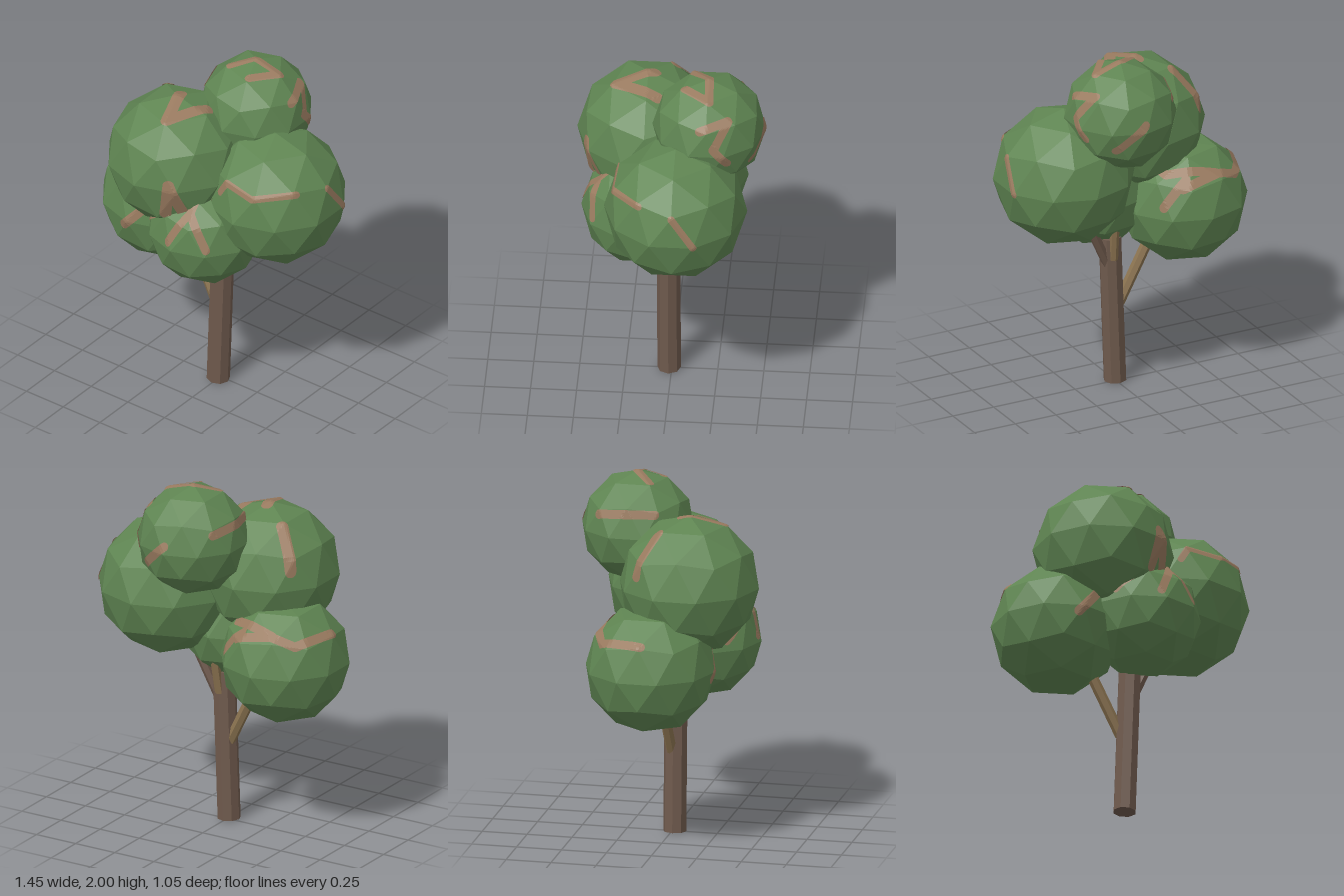
import * as THREE from 'three';

const flat = (name, color, extra = {}) => {
  const m = new THREE.MeshStandardMaterial({ color, flatShading: true, ...extra });
  m.name = name;
  return m;
};

// Leaf clumps: centre, radius, how far the poles are flattened, streak half width
const CLUMPS = {
  upperRight: { c: [-0.19, 1.455, 0.14], r: 0.387, cap: 1, half: 0.034 },
  left: { c: [0.345, 1.32, -0.045], r: 0.39, cap: 1, half: 0.02 },
  topBack: { c: [0.085, 1.69, -0.21], r: 0.31, cap: 1, half: 0.025 },
  lowerRight: { c: [-0.39, 1.03, -0.03], r: 0.36, cap: 0.89, half: 0.027 },
  lowerFront: { c: [0.03, 1.095, 0.17], r: 0.32, cap: 1, half: 0.024 },
};

// Directions in which the bark streaks are laid out: across, up, outward
const v3 = (x, y, z) => new THREE.Vector3(x, y, z).normalize();
const SIDES = {
  front: [v3(1, 0, 0), v3(0, 1, 0), v3(0, 0, 1)],
  left: [v3(0, 0, -1), v3(0, 1, 0), v3(1, 0, 0)],
  top: [v3(1, 0, 0), v3(0, 0, -1), v3(0, 1, 0)],
  backLeft: [v3(-1, 0, -1), v3(-0.35, 0.87, 0.35), v3(0.61, 0.5, -0.61)],
};

// Bark streaks: clump, side, points in units of the clump radius
const STREAKS = [
  ['lowerFront', 'front', [[0.16, 0.9], [0.19, 0.69], [-0.09, 0.13]]],
  ['lowerFront', 'front', [[0.19, 0.69], [0.6, 0.13]]],
  ['lowerFront', 'front', [[-0.78, 0.19], [-0.22, 0.6]]],
  ['left', 'front', [[-0.36, 0.33], [-0.23, 0.51], [0.23, 0.44], [0.72, 0.51]]],
  ['left', 'left', [[0, 0.44], [0.31, 0]]],
  ['topBack', 'top', [[-0.35, -0.29], [-0.03, 0], [0.5, 0.03], [0.16, -0.42]]],
  ['topBack', 'top', [[-0.75, 0.55], [-0.9, -0.03], [-0.77, -0.48]]],
  ['topBack', 'backLeft', [[-0.7, 0.15], [-0.22, 0.15], [-0.6, -0.26], [-0.37, -0.6]]],
  ['topBack', 'backLeft', [[0.2, -0.75], [0.7, -0.22]]],
  ['upperRight', 'top', [[-0.73, 0.62], [-0.42, 0.36]]],
  ['upperRight', 'top', [[0, 0.1], [0.16, -0.45], [0.45, 0.16]]],
  ['upperRight', 'front', [[0.4, -0.45], [0.5, 0.1], [0.62, -0.4]]],
  ['upperRight', 'backLeft', [[-0.85, -0.45], [-0.5, -0.75], [0, -0.5]]],
  ['lowerRight', 'top', [[-0.83, -0.03], [-0.58, 0.64], [-0.22, 0.75], [0.39, 0.78]]],
  ['lowerRight', 'backLeft', [[-0.8, 0.55], [-0.03, 0.2], [0.68, 0.37]]],
  ['lowerRight', 'backLeft', [[0.29, 0.16], [0, -0.32]]],
  ['lowerRight', 'front', [[-0.08, -0.1], [0.25, 0.28]]],
];

// Icosphere standing on a vertex, with its poles pressed flat
function clumpGeometry({ r, cap }) {
  const g = new THREE.IcosahedronGeometry(1, 1);
  g.rotateX(-Math.atan((1 + Math.sqrt(5)) / 2)).rotateY(Math.PI / 2);
  const p = g.attributes.position;
  for (let i = 0; i < p.count; i++) p.setY(i, THREE.MathUtils.clamp(p.getY(i), -cap, cap));
  g.scale(r, r, r);
  g.computeVertexNormals();
  return g;
}

// Distance from the centre to the faceted surface along a direction
function surfaceOf(g) {
  const p = g.attributes.position, planes = [];
  for (let i = 0; i < p.count; i += 3) {
    const [a, b, c] = [0, 1, 2].map((k) => new THREE.Vector3().fromBufferAttribute(p, i + k));
    planes.push(new THREE.Plane().setFromCoplanarPoints(a, b, c));
  }
  return (d) => planes.reduce((best, pl) => {
    const n = pl.normal.dot(d);
    return n > 1e-4 ? Math.min(best, -pl.constant / n) : best;
  }, Infinity);
}

// Round-ended ribbon hugging a clump between two directions
function ribbonGeometry(d0, d1, { half, r }, surface) {
  const pos = [], index = [], N = 20, M = 6, w = half / r;
  const axis = d0.clone().cross(d1).normalize(), length = d0.angleTo(d1);
  for (let i = 0; i <= N; i++) {
    const s = -w + (length + 2 * w) * (1 - Math.cos((Math.PI * i) / N)) / 2;
    const over = Math.max(0, -s, s - length);
    const h = Math.sqrt(Math.max(0, w * w - over * over));
    const mid = d0.clone().applyAxisAngle(axis, s);
    for (let j = 0; j <= M; j++) {
      const d = mid.clone().addScaledVector(axis, h * ((2 * j) / M - 1)).normalize();
      pos.push(...d.multiplyScalar(surface(d) + 0.005).toArray());
      if (i < N && j < M) {
        const a = i * (M + 1) + j, b = a + M + 1;
        index.push(a, b, a + 1, b, b + 1, a + 1);
      }
    }
  }
  const g = new THREE.BufferGeometry();
  g.setAttribute('position', new THREE.Float32BufferAttribute(pos, 3));
  g.setIndex(index);
  g.computeVertexNormals();
  return g;
}

// Straight limb between two points
function limb(name, from, to, radius, sides, material) {
  const a = new THREE.Vector3(...from), b = new THREE.Vector3(...to), d = b.clone().sub(a);
  const mesh = new THREE.Mesh(new THREE.CylinderGeometry(radius, radius, d.length(), sides), material);
  mesh.position.copy(a).add(b).multiplyScalar(0.5);
  mesh.quaternion.setFromUnitVectors(new THREE.Vector3(0, 1, 0), d.normalize());
  mesh.name = name;
  return mesh;
}

export function createModel() {
  const leaf = flat('leafGreen', 0x5f8552);
  const bark = flat('trunkBrown', 0x6f5a4d);
  const wood = flat('branchTan', 0x8b7350);
  const streakMat = flat('streakBrown', 0x997a5f, { side: THREE.DoubleSide });
  const tree = new THREE.Group();
  tree.name = 'tree';

  // Trunk and branches
  tree.add(
    limb('trunk', [-0.003, 0.002, 0.015], [0.028, 0.86, 0.015], 0.064, 8, bark),
    limb('rightBranch', [-0.02, 0.46, 0], [-0.25, 0.92, -0.02], 0.03, 6, wood),
    limb('leftBranch', [0.05, 0.7, 0], [0.2, 1.02, -0.03], 0.028, 6, bark),
    limb('backBranch', [0.03, 0.74, -0.03], [0.06, 1.4, -0.14], 0.025, 6, wood),
  );

  // Leaf clumps with their bark streaks
  for (const [name, clump] of Object.entries(CLUMPS)) {
    const group = new THREE.Group();
    group.name = `${name}Clump`;
    group.position.set(...clump.c);
    const geometry = clumpGeometry(clump), surface = surfaceOf(geometry);
    const leaves = new THREE.Mesh(geometry, leaf);
    leaves.name = `${name}Leaves`;
    group.add(leaves);
    for (const [owner, side, points] of STREAKS) {
      if (owner !== name) continue;
      const [u, v, w] = SIDES[side];
      const dirs = points.map(([a, b]) => new THREE.Vector3()
        .addScaledVector(u, a).addScaledVector(v, b)
        .addScaledVector(w, Math.sqrt(Math.max(0, 1 - a * a - b * b))).normalize());
      for (let i = 1; i < dirs.length; i++) {
        const ribbon = new THREE.Mesh(ribbonGeometry(dirs[i - 1], dirs[i], clump, surface), streakMat);
        ribbon.name = `${name}Streak`;
        group.add(ribbon);
      }
    }
    tree.add(group);
  }
  return tree;
}
